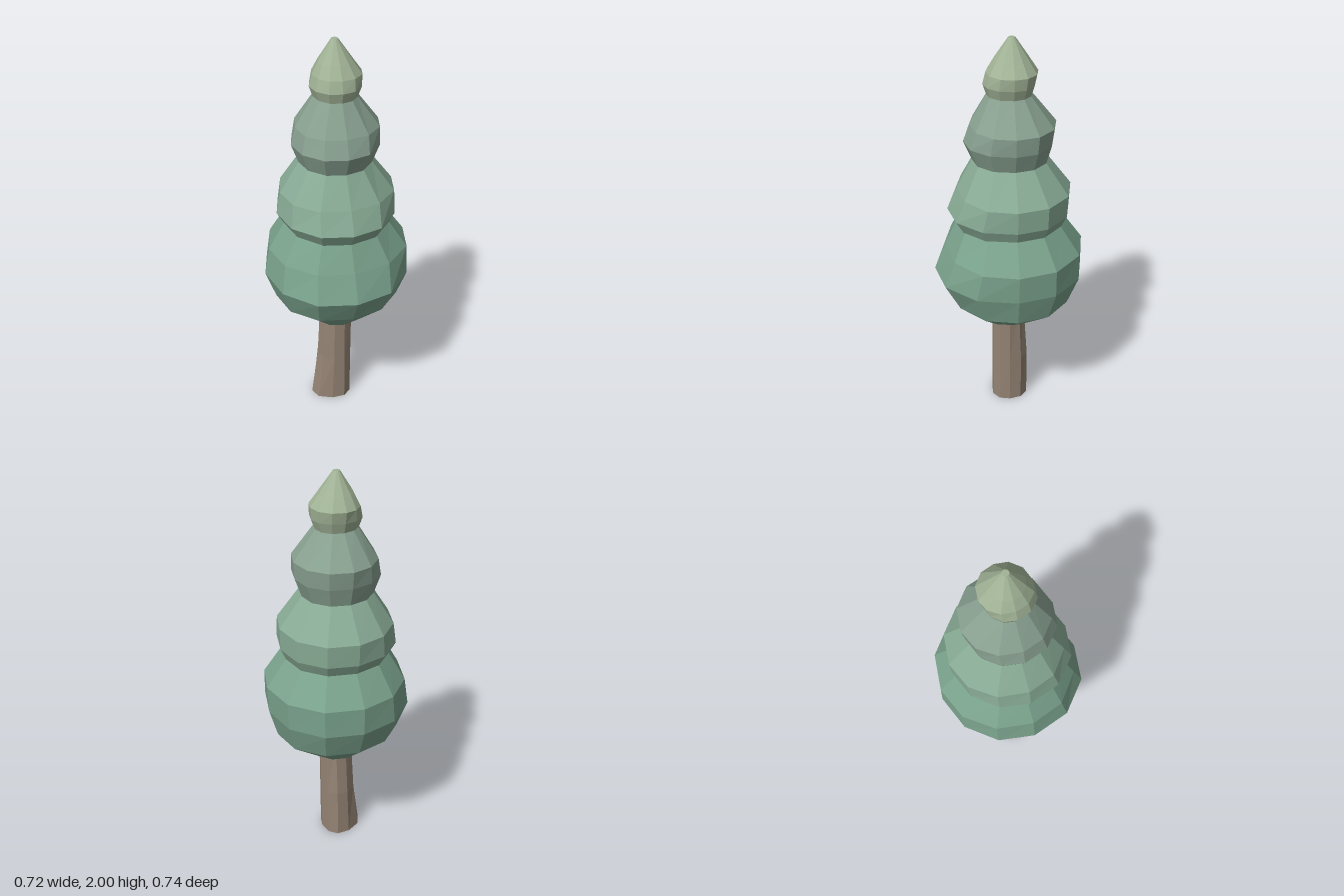
import * as THREE from 'three';

// Each ring: [y, reach to -x, reach to +x, reach to -z, reach to +z]
const TRUNK = [
  [0, 0.135, 0.077, 0.10, 0.09],
  [0.27, 0.10, 0.08, 0.10, 0.087],
  [0.60, 0.083, 0.085, 0.078, 0.083],
];

const TIERS = [
  { name: 'lowestFoliage', color: 0x7aa28c, rings: [
    [0.545, 0.135, 0.14, 0.155, 0.15],
    [0.685, 0.31, 0.315, 0.31, 0.29],
    [0.83, 0.36, 0.355, 0.367, 0.37],
    [0.97, 0.335, 0.36, 0.365, 0.315],
    [1.11, 0.255, 0.26, 0.265, 0.25],
  ] },
  { name: 'lowerMiddleFoliage', color: 0x88ab95, rings: [
    [1.095, 0.25, 0.255, 0.26, 0.255],
    [1.165, 0.29, 0.285, 0.295, 0.297],
    [1.275, 0.27, 0.287, 0.30, 0.25],
    [1.43, 0.172, 0.17, 0.183, 0.168],
  ] },
  { name: 'upperMiddleFoliage', color: 0x88a090, rings: [
    [1.42, 0.175, 0.172, 0.185, 0.172],
    [1.515, 0.21, 0.205, 0.21, 0.212],
    [1.60, 0.19, 0.21, 0.222, 0.182],
    [1.745, 0.10, 0.10, 0.105, 0.10],
  ] },
  { name: 'topFoliage', color: 0xa1b396, rings: [
    [1.735, 0.10, 0.10, 0.105, 0.10],
    [1.79, 0.12, 0.12, 0.122, 0.118],
    [1.845, 0.105, 0.125, 0.134, 0.104],
    [1.90, 0.078, 0.085, 0.098, 0.07],
    [2.0, 0.015, 0.015, 0.03, 0.002],
  ] },
];

// Joins lopsided rings into a closed, faceted solid around an axis at z = cz
function ringSolid(rings, sides, cz) {
  const pos = [], index = [];
  for (const [y, left, right, back, front] of rings) {
    for (let i = 0; i < sides; i++) {
      const a = (i / sides) * Math.PI * 2;
      const c = Math.cos(a), s = Math.sin(a);
      // corners between the axes swell a little, except at the back of the -x side
      const swell = c < 0 && s < 0 ? 1 : 1 + 0.03 * Math.sin(2 * a) ** 2;
      const x = c * (c < 0 ? left : right) * swell;
      const z = cz + s * (s < 0 ? back + cz : front - cz) * swell;
      pos.push(x, y, z);
    }
  }
  const last = rings.length - 1;
  for (let r = 0; r < last; r++) {
    for (let i = 0; i < sides; i++) {
      const a = r * sides + i, b = r * sides + ((i + 1) % sides);
      index.push(a, a + sides, b, b, a + sides, b + sides);
    }
  }
  // flat end caps
  const bottom = pos.length / 3;
  pos.push(0, rings[0][0], cz, 0, rings[last][0], cz);
  for (let i = 0; i < sides; i++) {
    const j = (i + 1) % sides;
    index.push(bottom, i, j, bottom + 1, last * sides + j, last * sides + i);
  }
  const geo = new THREE.BufferGeometry();
  geo.setAttribute('position', new THREE.Float32BufferAttribute(pos, 3));
  geo.setIndex(index);
  geo.computeVertexNormals();
  return geo;
}

function part(name, geometry, color) {
  const mesh = new THREE.Mesh(geometry, new THREE.MeshStandardMaterial({ color, flatShading: true }));
  mesh.name = name;
  return mesh;
}

export function createModel() {
  const tree = new THREE.Group();
  tree.name = 'tree';

  // Trunk, flaring towards -x at its foot
  tree.add(part('trunk', ringSolid(TRUNK, 10, 0), 0x958474));

  // Four stacked tiers of foliage
  const foliage = new THREE.Group();
  foliage.name = 'foliage';
  for (const { name, color, rings } of TIERS) foliage.add(part(name, ringSolid(rings, 12, -0.014), color));
  tree.add(foliage);

  return tree;
}
